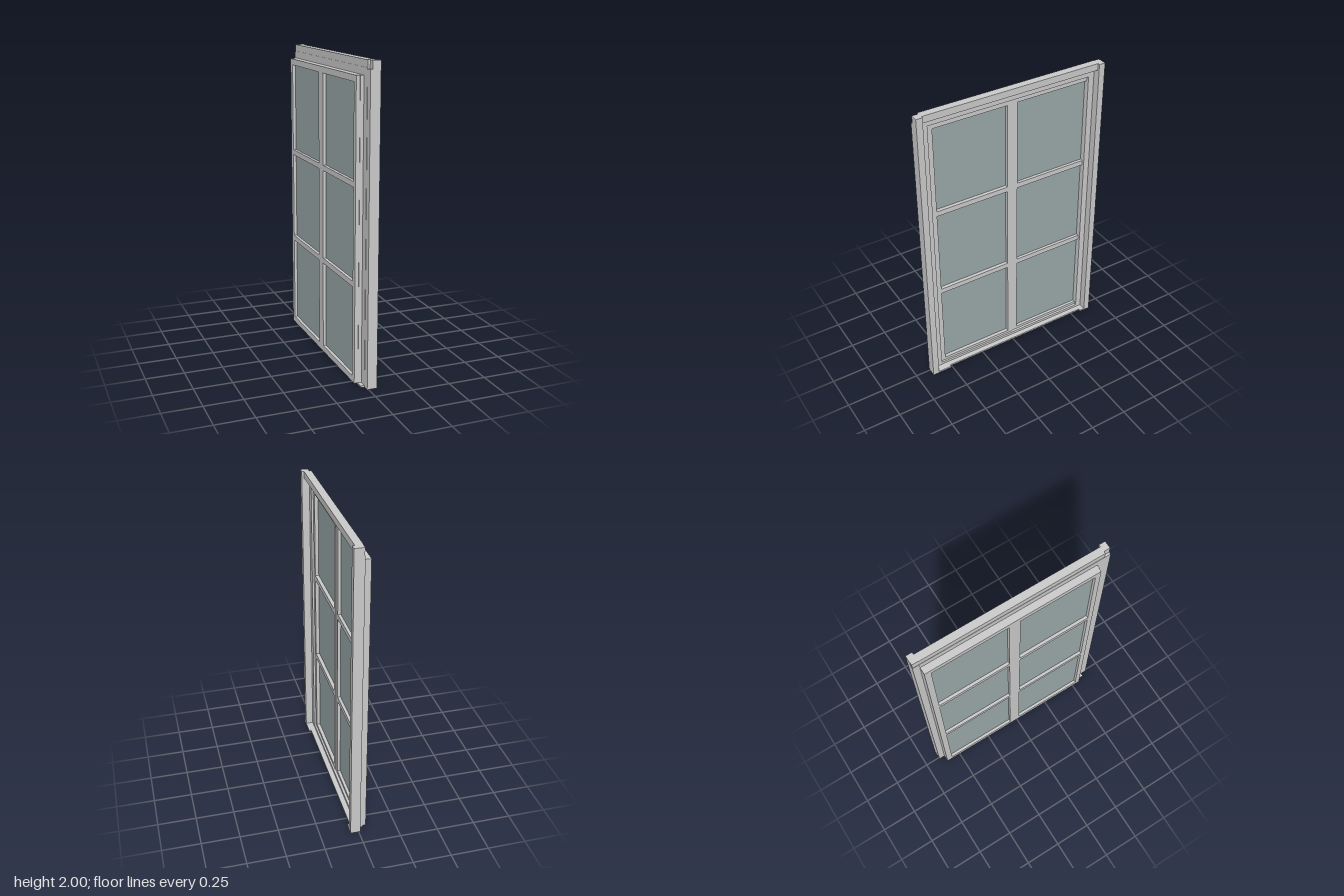
import * as THREE from 'three';

export function createModel() {
  const model = new THREE.Group();
  const grey = new THREE.MeshStandardMaterial({ color: 0xcccccc });
  const glass = new THREE.MeshStandardMaterial({ color: 0x9ba9a8 });

  // Box given by its limits on each axis
  function box(name, [x0, x1], [y0, y1], [z0, z1], material = grey) {
    const mesh = new THREE.Mesh(new THREE.BoxGeometry(x1 - x0, y1 - y0, z1 - z0), material);
    mesh.position.set((x0 + x1) / 2, (y0 + y1) / 2, (z0 + z1) / 2);
    mesh.name = name;
    model.add(mesh);
  }

  // Panel in the z-y plane with rectangular openings, extruded along x
  function panel(name, [x0, x1], [y0, y1], [z0, z1], openings) {
    const rect = (path, a, b, c, d) => {
      path.moveTo(-b, c);
      path.lineTo(-a, c);
      path.lineTo(-a, d);
      path.lineTo(-b, d);
      path.closePath();
      return path;
    };
    const shape = rect(new THREE.Shape(), z0, z1, y0, y1);
    for (const [zs, ys] of openings) shape.holes.push(rect(new THREE.Path(), ...zs, ...ys));
    const geometry = new THREE.ExtrudeGeometry(shape, { depth: x1 - x0, bevelEnabled: false });
    geometry.rotateY(Math.PI / 2);
    geometry.translate(x0, 0, 0);
    const mesh = new THREE.Mesh(geometry, grey);
    mesh.name = name;
    model.add(mesh);
  }

  // Outer casing: two jambs and a shallower header
  for (const side of [1, -1]) {
    const span = (a, b) => [Math.min(a * side, b * side), Math.max(a * side, b * side)];
    box('jamb', [0.005, 0.055], [0, 2], span(0.605, 0.647));
    box('jambBack', [-0.01, 0.005], [0, 1.95], span(0.6, 0.647));
    box('sillHorn', [0.005, 0.055], [0, 0.012], span(side > 0 ? 0.51 : 0.57, 0.61));
  }
  box('header', [-0.01, 0.04], [1.955, 2], [-0.606, 0.606]);
  box('headerFlange', [-0.008, 0.008], [1.95, 2], [-0.645, 0.6]);
  box('sill', [-0.035, 0.04], [0, 0.012], [-0.606, 0.606]);

  // Inner frame the sashes close against
  panel('innerFrame', [-0.012, 0.005], [0.004, 1.956], [-0.606, 0.606],
    [[[-0.565, 0.555], [0.03, 1.905]]]);

  // Pane layout: two columns, three rows
  const rows = [[0.05, 0.63], [0.665, 1.25], [1.285, 1.87]];
  const leftColumn = [0.015, 0.52];
  const rightColumn = [-0.565, -0.06];
  const grid = (columns) => columns.flatMap((z) => rows.map((y) => [z, y]));

  // Sashes: a rear layer across the opening and a front leaf on one half
  panel('rearSash', [-0.058, -0.034], [0.01, 1.91], [-0.605, 0.555],
    grid([leftColumn, rightColumn]));
  panel('frontSash', [-0.034, -0.008], [0.01, 1.91], [-0.02, 0.558], grid([leftColumn]));
  panel('fixedSash', [-0.034, -0.012], [0.01, 1.91], [-0.605, -0.02], grid([rightColumn]));

  // Glass panes
  for (const [z, y] of grid([leftColumn, rightColumn])) box('pane', [-0.038, -0.032], y, z, glass);

  return model;
}
